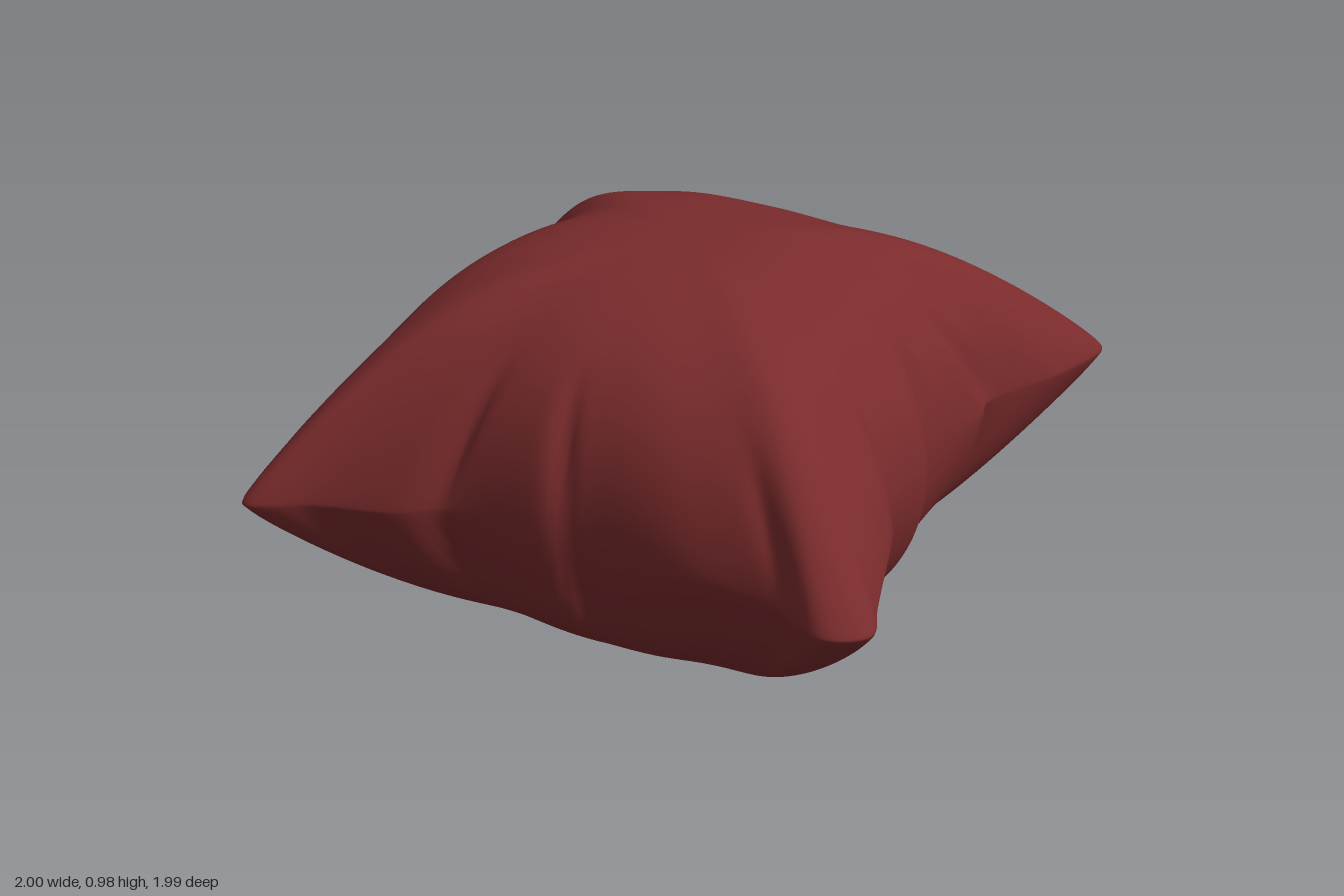
import * as THREE from 'three';

// Seam outline as x, z pairs
const OUTLINE = [
  0.58, -1.00, 0.59, -0.80, 0.54, -0.58, 0.56, -0.50, 0.59, -0.22, 0.66, -0.13,
  0.68, 0.03, 0.76, 0.13, 0.89, 0.34, 0.94, 0.42, 1.00, 0.52, 0.93, 0.60,
  0.75, 0.56, 0.50, 0.59, 0.24, 0.62, 0.15, 0.66, -0.10, 0.71, -0.20, 0.79,
  -0.40, 0.89, -0.46, 0.95, -0.52, 0.99, -0.57, 0.90, -0.61, 0.60, -0.66, 0.20,
  -0.69, 0.00, -0.71, -0.15, -0.88, -0.27, -0.90, -0.34, -1.00, -0.43, -0.90, -0.53,
  -0.72, -0.54, -0.66, -0.57, -0.30, -0.65, 0.07, -0.72, 0.12, -0.76, 0.30, -0.84,
  0.42, -0.91,
];
// Corner tips: x, z and seam height offset
const CORNERS = [[0.58, -1, 0.03], [1, 0.52, 0], [-0.52, 0.99, -0.03], [-1, -0.43, -0.03]];
// Folds gathered by the seam: x, z, depth, lean
const FOLDS = [
  [0.55, -0.54, 0.05, 0.1], [0.59, -0.22, 0.04, -0.06], [0.70, 0.06, 0.03, 0.08],
  [0.80, 0.56, 0.03, 0.05], [0.20, 0.64, 0.04, 0.07], [-0.12, 0.72, 0.04, -0.08],
  [-0.70, -0.13, 0.04, -0.06], [-0.68, -0.56, 0.04, 0.06],
  [0.09, -0.73, 0.04, -0.07], [0.32, -0.85, 0.02, 0.06],
];
const SIDES = 320, ROWS = 48, HALF = 0.49, SOFTEN = 22;

const angleGap = (a, b) => Math.atan2(Math.sin(a - b), Math.cos(a - b));

function cushionGeometry() {
  const points = [];
  for (let i = 0; i < OUTLINE.length; i += 2) points.push(new THREE.Vector3(OUTLINE[i], 0, OUTLINE[i + 1]));
  const rim = new THREE.CatmullRomCurve3(points, true, 'centripetal').getSpacedPoints(SIDES).slice(0, SIDES);

  // Softened copy of the outline for the smooth inner area
  const soft = rim.map((_, i) => {
    const sum = new THREE.Vector3();
    let total = 0;
    for (let k = -SOFTEN; k <= SOFTEN; k++) {
      const w = 1 + Math.cos(k / SOFTEN * Math.PI);
      sum.addScaledVector(rim[(i + k + SIDES) % SIDES], w);
      total += w;
    }
    return sum.divideScalar(total);
  });

  const positions = [], indices = [];
  for (let r = 0; r <= ROWS * 2; r++) {
    const v = r / ROWS;
    const t = r === ROWS ? 1 : Math.sin(v * Math.PI / 2);
    const up = v < 1 ? 1 : -1;
    for (let i = 0; i < SIDES; i++) {
      const angle = Math.atan2(soft[i].z, soft[i].x);
      // Corners taper like cones, edges bulge like a tube
      let corner = 0, lift = 0;
      for (const [x, z, dy] of CORNERS) {
        const w = Math.exp(-((angleGap(angle, Math.atan2(z, x)) / 0.34) ** 2));
        corner += w;
        lift += w * dy;
      }
      const q = THREE.MathUtils.lerp(0.5, 1.05, Math.min(corner, 1));
      let h = HALF * Math.max(0, 1 - t ** 2.9) ** q;
      h += 0.03 * corner * t ** 4 * Math.sqrt(Math.max(0, 1 - t ** 12));

      // Narrow leaning creases that fade toward the crown
      let dent = 0;
      const fade = THREE.MathUtils.smoothstep(t, 0.7, 0.96) * (1 - 0.7 * t ** 30);
      for (const [x, z, depth, lean] of FOLDS) {
        const d = angleGap(angle, Math.atan2(z, x) + lean * up * h / HALF);
        dent += depth * Math.exp(-((d / 0.035) ** 2)) * fade;
        dent -= depth * 0.35 * Math.exp(-(((d - 0.09) / 0.06) ** 2)) * fade * (1 - t ** 8);
      }
      const spot = soft[i].clone().lerp(rim[i], t ** 4).multiplyScalar(t * (1 - dent));
      positions.push(spot.x, HALF + up * h + lift * t ** 3, spot.z);
    }
  }
  for (let r = 0; r < ROWS * 2; r++) {
    for (let i = 0; i < SIDES; i++) {
      const j = (i + 1) % SIDES;
      const a = r * SIDES + i, b = a + SIDES, c = (r + 1) * SIDES + j, d = r * SIDES + j;
      if (r < ROWS * 2 - 1) indices.push(a, c, b);
      if (r > 0) indices.push(a, d, c);
    }
  }
  const geometry = new THREE.BufferGeometry();
  geometry.setAttribute('position', new THREE.Float32BufferAttribute(positions, 3));
  geometry.setIndex(indices);
  geometry.computeVertexNormals();
  // Clean normals at the two poles
  const normal = geometry.attributes.normal;
  for (let i = 0; i < SIDES; i++) {
    normal.setXYZ(i, 0, 1, 0);
    normal.setXYZ(ROWS * 2 * SIDES + i, 0, -1, 0);
  }
  return geometry;
}

export function createModel() {
  const group = new THREE.Group();
  group.name = 'pillow';
  const fabric = new THREE.MeshStandardMaterial({ color: 0x7a2b2c });
  fabric.name = 'dark red fabric';
  const cushion = new THREE.Mesh(cushionGeometry(), fabric);
  cushion.name = 'cushion';
  group.add(cushion);
  return group;
}
